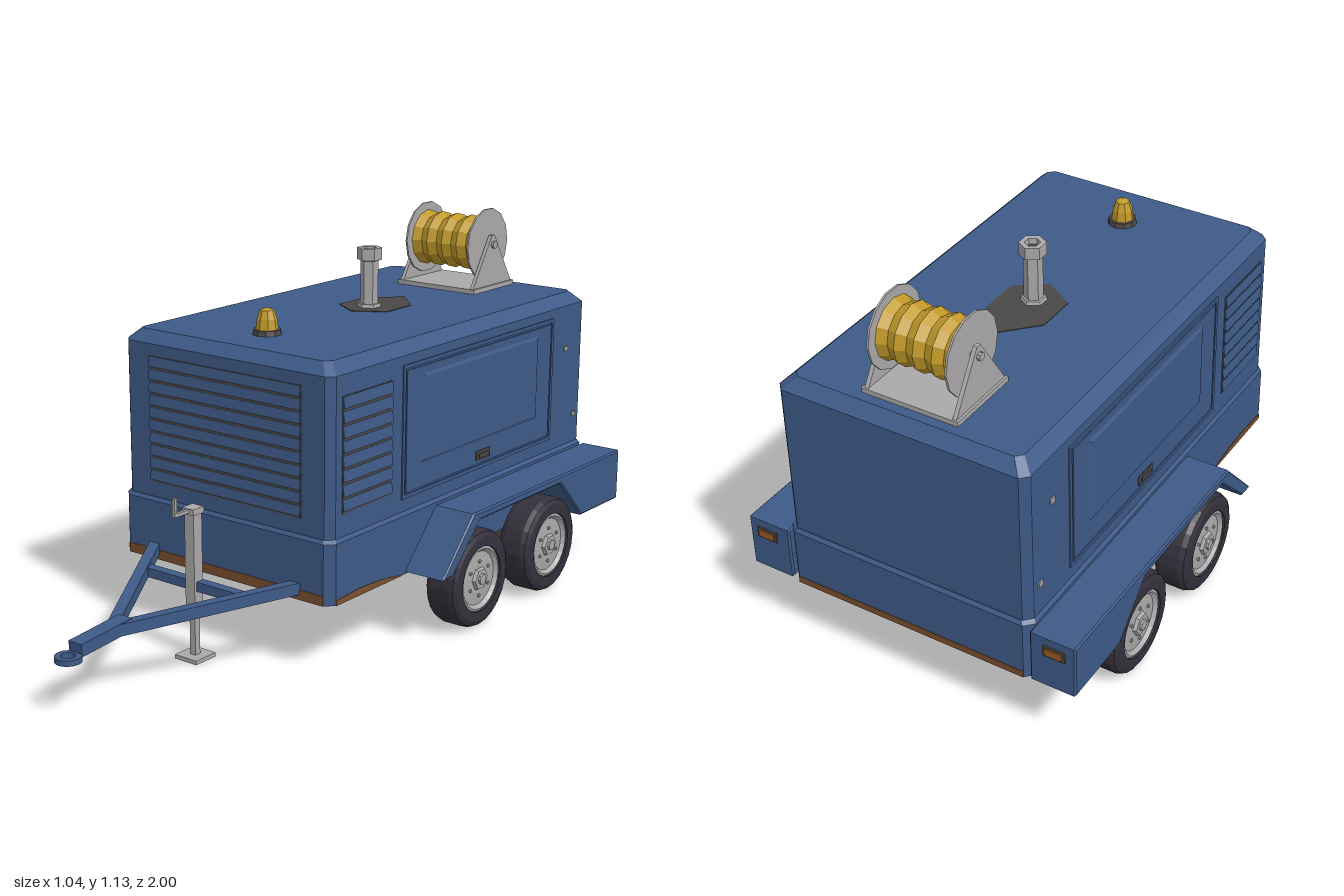
import * as THREE from 'three';
import { ConvexGeometry } from 'three/addons/geometries/ConvexGeometry.js';

const paint = (name, color) => new THREE.MeshStandardMaterial({ name, color, flatShading: true });
const blue = paint('blue paint', 0x3e5a87);
const rubber = paint('rubber', 0x34303c);
const steel = paint('light steel', 0xaaa8a8);
const dark = paint('dark grey', 0x4a4846);
const yellow = paint('yellow', 0xc29b2a);
const rust = paint('rust brown', 0x7a4f2e);
const tailOrange = paint('lamp orange', 0x9a5a24);

const V = (x, y, z) => new THREE.Vector3(x, y, z);

function add(parent, name, geometry, material, x = 0, y = 0, z = 0) {
  const mesh = new THREE.Mesh(geometry, material);
  mesh.name = name;
  mesh.position.set(x, y, z);
  parent.add(mesh);
  return mesh;
}

// Box given by its limits on each axis
function block(parent, name, mat, [x0, x1], [y0, y1], [z0, z1]) {
  const size = [x1 - x0, y1 - y0, z1 - z0].map(Math.abs);
  return add(parent, name, new THREE.BoxGeometry(...size), mat, (x0 + x1) / 2, (y0 + y1) / 2, (z0 + z1) / 2);
}

// Square bar running between two points
function beam(parent, name, mat, a, b, w, h) {
  const mesh = add(parent, name, new THREE.BoxGeometry(w, h, a.distanceTo(b)), mat);
  mesh.position.copy(a).lerp(b, 0.5);
  mesh.lookAt(b);
  return mesh;
}

// Solid through rectangular rings [y, halfX, halfZ, cornerCut]
function cutCornerSolid(rings) {
  const points = [];
  for (const [y, hx, hz, c] of rings)
    for (const sx of [-1, 1]) for (const sz of [-1, 1])
      points.push(V(sx * (hx - c), y, sz * hz), V(sx * hx, y, sz * (hz - c)));
  return new ConvexGeometry(points);
}

// Outline in (z, y), extruded across x and centred there
function sideExtrude(points, width, bevel = 0) {
  const shape = new THREE.Shape(points.map(([z, y]) => new THREE.Vector2(-z, y)));
  const geo = new THREE.ExtrudeGeometry(shape, {
    depth: width - 2 * bevel, bevelEnabled: bevel > 0, bevelSize: bevel, bevelOffset: -bevel,
    bevelThickness: bevel, bevelSegments: 1,
  });
  return geo.translate(0, 0, bevel - width / 2).rotateY(Math.PI / 2);
}

function lathe(points, sides) {
  return new THREE.LatheGeometry(points.map(([r, y]) => new THREE.Vector2(r, y)), sides);
}

// Louvred vent in its own plane, facing +z
function vent(name, width, height, count) {
  const g = new THREE.Group();
  g.name = name;
  add(g, 'ventBacking', new THREE.BoxGeometry(width, height, 0.003), dark, 0, 0, 0.0005);
  const pitch = height / count;
  for (let i = 0; i < count; i++) {
    const slat = add(g, 'ventSlat', new THREE.BoxGeometry(width, pitch * 0.78, 0.003), blue,
      0, -height / 2 + pitch * (i + 0.56), 0.004);
    slat.rotation.x = -0.12;
  }
  return g;
}

function wheel(s, z) {
  const g = new THREE.Group();
  g.name = 'wheel';
  add(g, 'tyre', lathe([[0, -0.052], [0.13, -0.052], [0.143, -0.045], [0.149, -0.03], [0.149, 0.03],
    [0.143, 0.045], [0.13, 0.052], [0.1, 0.052], [0.098, 0.03]], 24), rubber);
  add(g, 'rim', lathe([[0.101, 0.045], [0.092, 0.049], [0.082, 0.038], [0.045, 0.041], [0, 0.041]], 24), steel);
  add(g, 'hub', new THREE.CylinderGeometry(0.032, 0.037, 0.012, 6), steel, 0, 0.045, 0);
  add(g, 'hubCap', new THREE.CylinderGeometry(0.016, 0.018, 0.008, 8), steel, 0, 0.053, 0);
  for (let i = 0; i < 6; i++) {
    const a = i * Math.PI / 3;
    add(g, 'wheelNut', new THREE.CylinderGeometry(0.005, 0.005, 0.006, 6), steel,
      0.053 * Math.cos(a), 0.043, 0.053 * Math.sin(a));
  }
  g.rotation.z = -s * Math.PI / 2;
  g.position.set(s * 0.452, 0.151, z);
  return g;
}

function sideDoor(parent, s) {
  // Frame ring, door leaf and raised centre panel
  const rect = (P, z0, z1, y0, y1) => {
    const p = new P();
    p.moveTo(z0, y0); p.lineTo(z1, y0); p.lineTo(z1, y1); p.lineTo(z0, y1); p.closePath();
    return p;
  };
  const ring = rect(THREE.Shape, -0.015, 0.785, 0.43, 0.82);
  ring.holes.push(rect(THREE.Path, -0.004, 0.774, 0.441, 0.809));
  const ringGeo = new THREE.ExtrudeGeometry(ring, { depth: 0.006, bevelEnabled: false });
  ringGeo.translate(0, 0, -0.003).rotateY(Math.PI / 2);
  add(parent, 'doorFrame', ringGeo, blue, s * 0.381);
  block(parent, 'doorLeaf', blue, [s * 0.378, s * 0.384], [0.447, 0.803], [-0.768, -0.002]);
  const pts = [];
  for (const [x, inset] of [[0.38, 0], [0.389, 0.016]])
    for (const z of [-0.70 + inset, -0.07 - inset]) for (const y of [0.512 + inset, 0.788 - inset])
      pts.push(V(s * x, y, z));
  add(parent, 'doorPanel', new ConvexGeometry(pts), blue);
  block(parent, 'doorHandlePlate', dark, [s * 0.38, s * 0.387], [0.458, 0.487], [-0.432, -0.358]);
  block(parent, 'doorHandle', dark, [s * 0.38, s * 0.391], [0.465, 0.478], [-0.42, -0.37]);
  // Small latches behind the door
  for (const [y, z] of [[0.71, -0.865], [0.485, -0.927]])
    block(parent, 'latch', steel, [s * 0.378, s * 0.384], [y - 0.007, y + 0.007], [z - 0.01, z + 0.01]);
}

export function createModel() {
  const model = new THREE.Group();
  model.name = 'towedGenerator';

  // Housing
  add(model, 'lowerBody', cutCornerSolid([[0.205, 0.388, 0.67, 0.025], [0.382, 0.388, 0.67, 0.025],
    [0.392, 0.38, 0.662, 0.025]]), blue, 0, 0, -0.32);
  add(model, 'upperBody', cutCornerSolid([[0.385, 0.38, 0.66, 0.022], [0.847, 0.38, 0.66, 0.022],
    [0.88, 0.345, 0.627, 0.018]]), blue, 0, 0, -0.32);
  const frontVent = vent('frontVent', 0.555, 0.375, 10);
  frontVent.position.set(0, 0.625, 0.34);
  model.add(frontVent);

  // Rusted lower edges
  block(model, 'frontRust', rust, [-0.363, 0.363], [0.205, 0.234], [0.348, 0.352]);
  block(model, 'rearRust', rust, [-0.363, 0.363], [0.205, 0.225], [-0.988, -0.992]);

  const fender = sideExtrude([[0, 0.212], [-0.15, 0.373], [-0.99, 0.373], [-0.99, 0.212], [-0.765, 0.212],
    [-0.63, 0.347], [-0.185, 0.347], [-0.05, 0.212]], 0.137, 0.005);

  for (const s of [-1, 1]) {
    sideDoor(model, s);
    const v = vent('sideVent', 0.225, 0.33, 8);
    v.rotation.y = s * Math.PI / 2;
    v.position.set(s * 0.38, 0.623, 0.178);
    model.add(v);
    add(model, 'sideRust', sideExtrude([[0.325, 0.205], [0.325, 0.22], [0.22, 0.226], [0.12, 0.222],
      [0.02, 0.208], [0.02, 0.205]], 0.004), rust, s * 0.388);

    // Running gear
    add(model, 'fender', fender, blue, s * 0.4515);
    for (const z of [-0.225, -0.612]) model.add(wheel(s, z));
    block(model, 'chassisRail', dark, [s * 0.295, s * 0.33], [0.168, 0.207], [-0.76, -0.09]);
    block(model, 'tailLampSurround', dark, [s * 0.425, s * 0.49], [0.317, 0.35], [-0.988, -0.995]);
    block(model, 'tailLamp', tailOrange, [s * 0.432, s * 0.483], [0.323, 0.344], [-0.99, -0.999]);

    // Drawbar arms
    beam(model, 'drawbarArm', blue, V(s * 0.272, 0.238, 0.335), V(s * 0.008, 0.187, 0.785), 0.032, 0.034);
  }
  for (const z of [-0.225, -0.612]) block(model, 'axle', dark, [-0.405, 0.405], [0.135, 0.17], [z - 0.018, z + 0.018]);

  // Tongue and towing eye
  beam(model, 'tongue', blue, V(0, 0.192, 0.745), V(0, 0.176, 0.935), 0.048, 0.036);
  block(model, 'drawbarCrossbar', blue, [-0.195, 0.195], [0.205, 0.233], [0.45, 0.48]);
  const eye = new THREE.Shape().absarc(0, 0, 0.037, 0, Math.PI * 2);
  eye.holes.push(new THREE.Path().absarc(0, 0, 0.02, 0, Math.PI * 2, true));
  const eyeGeo = new THREE.ExtrudeGeometry(eye, { depth: 0.016, bevelEnabled: false, curveSegments: 12 });
  add(model, 'towingEye', eyeGeo.rotateX(-Math.PI / 2), blue, 0, 0.15, 0.962);

  // Jack stand
  block(model, 'jackFoot', steel, [-0.04, 0.04], [0, 0.012], [0.43, 0.512]);
  block(model, 'jackInnerTube', steel, [-0.01, 0.01], [0.01, 0.16], [0.461, 0.481]);
  block(model, 'jackOuterTube', steel, [-0.017, 0.017], [0.14, 0.435], [0.454, 0.488]);
  block(model, 'jackCap', steel, [-0.021, 0.021], [0.43, 0.448], [0.449, 0.493]);
  block(model, 'jackCrank', steel, [-0.005, 0.005], [0.436, 0.446], [0.49, 0.55]);
  block(model, 'jackHandle', steel, [-0.005, 0.005], [0.436, 0.49], [0.541, 0.55]);

  // Exhaust stack with soot patch
  const soot = [[0, 0.524], [-0.09, 0.43], [-0.09, 0.307], [0, 0.249], [0.09, 0.307], [0.09, 0.43]];
  const sootShape = new THREE.Shape(soot.map(p => new THREE.Vector2(...p)));
  add(model, 'sootPatch', new THREE.ExtrudeGeometry(sootShape, { depth: 0.003, bevelEnabled: false })
    .rotateX(-Math.PI / 2), dark, 0, 0.879, 0);
  add(model, 'exhaustCollar', new THREE.CylinderGeometry(0.034, 0.038, 0.012, 6), steel, 0, 0.886, -0.337);
  add(model, 'exhaustPipe', new THREE.CylinderGeometry(0.027, 0.027, 0.16, 6), steel, 0, 0.95, -0.337);
  add(model, 'exhaustCap', lathe([[0.026, 1.022], [0.038, 1.026], [0.038, 1.062], [0.022, 1.062], [0.02, 1.03]], 6),
    steel, 0, 0, -0.337);
  add(model, 'exhaustBore', new THREE.CylinderGeometry(0.022, 0.022, 0.01, 6), dark, 0, 1.04, -0.337);

  // Warning beacon
  add(model, 'beaconBase', new THREE.CylinderGeometry(0.04, 0.043, 0.015, 10), dark, 0, 0.887, 0.147);
  add(model, 'beaconLens', lathe([[0, 0.893], [0.033, 0.893], [0.029, 0.925], [0.02, 0.95], [0, 0.957]], 8),
    yellow, 0, 0, 0.147);

  // Hose reel
  const reel = new THREE.Group();
  reel.name = 'hoseReel';
  reel.position.set(0, 1.022, -0.805);
  model.add(reel);
  block(reel, 'reelBase', steel, [-0.146, 0.146], [-0.144, -0.128], [-0.114, 0.114]);
  const coil = [[0.06, -0.113]];
  for (let i = 0; i <= 8; i++) coil.push([i % 2 ? 0.076 : 0.088, -0.112 + i * 0.028]);
  coil.push([0.06, 0.113]);
  add(reel, 'hoseCoil', lathe(coil, 12), yellow).rotation.z = Math.PI / 2;
  add(reel, 'reelAxle', new THREE.CylinderGeometry(0.012, 0.012, 0.296, 8), steel).rotation.z = Math.PI / 2;
  for (const s of [-1, 1]) {
    add(reel, 'reelFlange', new THREE.CylinderGeometry(0.114, 0.114, 0.006, 14), steel, s * 0.116)
      .rotation.z = Math.PI / 2;
    add(reel, 'reelBracket', sideExtrude([[-0.11, -0.13], [0.11, -0.13], [0.008, 0.03], [-0.008, 0.03]], 0.012),
      steel, s * 0.133);
  }
  return model;
}
